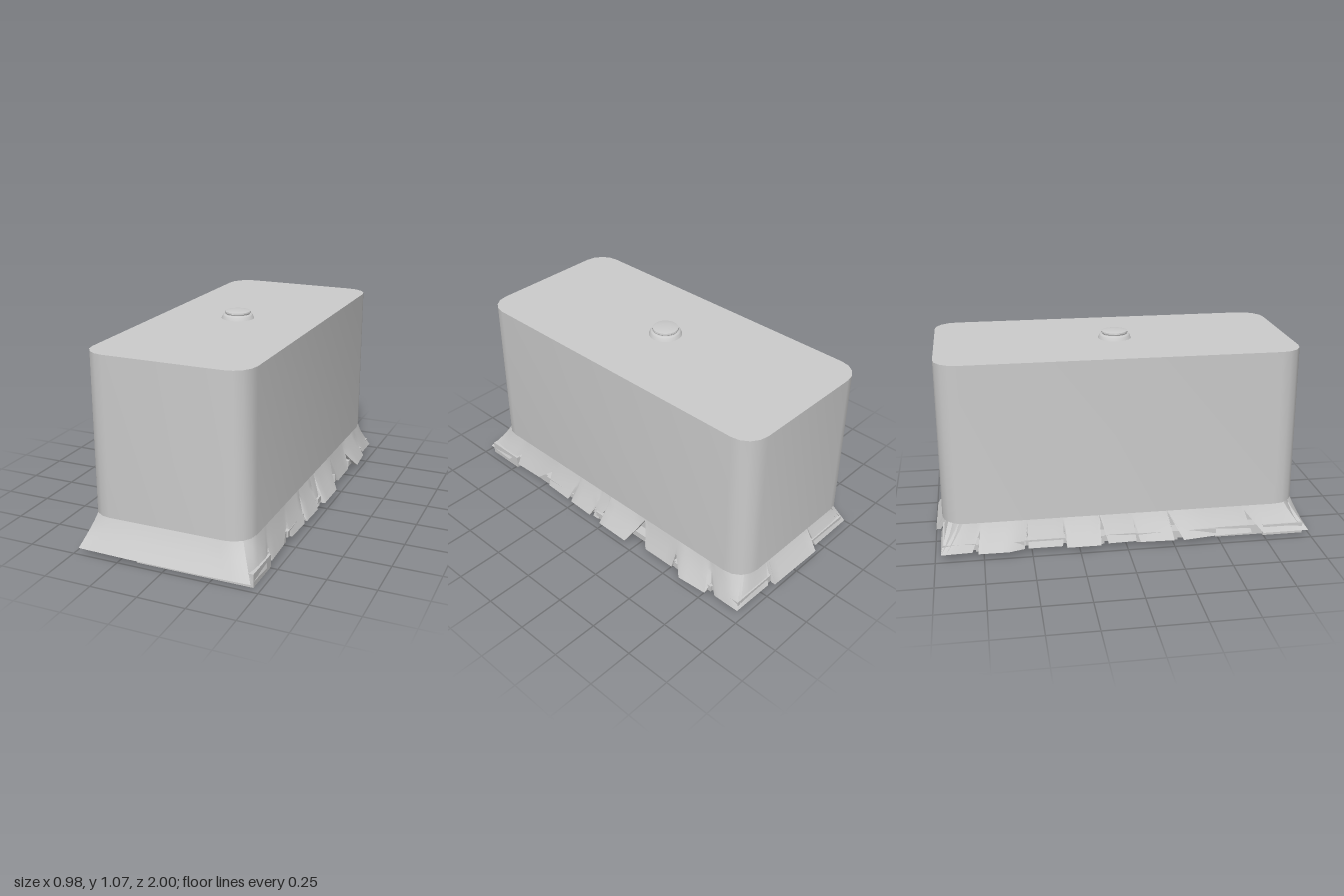
import * as THREE from 'three';
import { toCreasedNormals } from 'three/addons/utils/BufferGeometryUtils.js';

const mat = new THREE.MeshStandardMaterial({ color: 0xcccccc, side: THREE.DoubleSide });
const BODY = { x0: -0.455, x1: 0.41, z0: -0.955, z1: 0.915, y0: 0.19, y1: 1.03, r: 0.12 };
const mid = { x: (BODY.x0 + BODY.x1) / 2, z: (BODY.z0 + BODY.z1) / 2 };

function add(group, name, geometry) {
  const mesh = new THREE.Mesh(geometry, mat);
  mesh.name = name;
  group.add(mesh);
  return mesh;
}

// Block with rounded vertical corners
function bodyGeometry() {
  const { x0, x1, z0, z1, y0, y1, r } = BODY;
  const pts = [];
  const corners = [[x1 - r, z1 - r], [x0 + r, z1 - r], [x0 + r, z0 + r], [x1 - r, z0 + r]];
  corners.forEach(([cx, cz], i) => {
    for (let k = 0; k <= 4; k++) {
      const a = (i + k / 4) * Math.PI / 2;
      pts.push(new THREE.Vector2(cx + r * Math.cos(a), -(cz + r * Math.sin(a))));
    }
  });
  const g = new THREE.ExtrudeGeometry(new THREE.Shape(pts), { depth: y1 - y0, bevelEnabled: false });
  g.rotateX(-Math.PI / 2).translate(0, y0, 0);
  return toCreasedNormals(g, 0.7);
}

// Flared sheet below one side. Knots: [position along the side, outer edge, notch height 0..1]
function skirtGeometry(axis, sign, inset, knots) {
  const along = axis === 'x' ? 'z' : 'x';
  const half = (BODY[along + '1'] - BODY[along + '0']) / 2;
  const topHalf = half - 0.293 * BODY.r;
  const face = BODY[axis + (sign > 0 ? '1' : '0')] - sign * inset;
  const first = knots[0][0], last = knots[knots.length - 1][0];
  const rows = 4, thick = 0.025, bottom = 0.03;

  const columns = [];
  for (let i = 0; i < knots.length - 1; i++) {
    const n = Math.max(1, Math.ceil((knots[i + 1][0] - knots[i][0]) / 0.05));
    for (let k = 0; k < n; k++) columns.push(knots[i].map((v, j) => v + (knots[i + 1][j] - v) * k / n));
  }
  columns.push(knots[knots.length - 1]);

  const pos = [], index = [];
  const ring = 2 * (rows + 1);
  for (const [s, out, lo] of columns) {
    // matching point on the rounded upper outline
    const u = (2 * (s - first) / (last - first) - 1) * topHalf;
    const d = Math.max(0, Math.abs(u) - (half - BODY.r));
    const topOut = face - sign * (BODY.r - Math.sqrt(BODY.r ** 2 - d * d));
    for (let k = 0; k < ring; k++) {
      const inner = k > rows;
      const t = lo + (1 - lo) * (inner ? ring - 1 - k : k) / rows;
      const flare = (1 - t) ** 1.15;
      const p = {
        y: bottom + (BODY.y0 - bottom) * t,
        [axis]: topOut + (out - topOut) * flare - (inner ? sign * thick : 0),
        [along]: mid[along] + u + (s - mid[along] - u) * flare,
      };
      pos.push(p.x, p.y, p.z);
    }
  }
  const flip = (axis === 'x') === (sign > 0);
  for (let c = 0; c < columns.length - 1; c++) {
    for (let k = 0; k < ring; k++) {
      const a = c * ring + k, b = c * ring + (k + 1) % ring;
      const quad = [a, a + ring, b + ring, a, b + ring, b];
      index.push(...(flip ? quad.reverse() : quad));
    }
  }
  const g = new THREE.BufferGeometry();
  g.setAttribute('position', new THREE.Float32BufferAttribute(pos, 3));
  g.setIndex(index);
  return toCreasedNormals(g, 0.6);
}

function slab(group, name, x0, x1, z0, z1, y0, y1) {
  add(group, name, new THREE.BoxGeometry(x1 - x0, y1 - y0, z1 - z0))
    .position.set((x0 + x1) / 2, (y0 + y1) / 2, (z0 + z1) / 2);
}

export function createModel() {
  const model = new THREE.Group();
  add(model, 'body', bodyGeometry());

  // Flared, torn skirt
  add(model, 'frontSkirt', skirtGeometry('z', 1, 0,
    [[-0.475, 0.99, 0], [-0.2, 0.998, 0], [0.2, 0.998, 0], [0.458, 0.99, 0]]));
  add(model, 'leftSkirt', skirtGeometry('x', 1, 0, [
    [-0.97, 0.455, 0], [-0.82, 0.455, 0], [-0.79, 0.44, 0.3], [-0.77, 0.475, 0], [-0.6, 0.487, 0],
    [-0.54, 0.465, 0.55], [-0.52, 0.455, 0], [-0.33, 0.455, 0], [-0.28, 0.47, 0.97], [-0.2, 0.487, 0],
    [0, 0.485, 0], [0.01, 0.46, 0.45], [0.03, 0.465, 0], [0.07, 0.465, 0], [0.08, 0.46, 0.3],
    [0.09, 0.475, 0], [0.25, 0.47, 0], [0.27, 0.45, 0.3], [0.28, 0.468, 0], [0.45, 0.462, 0],
    [0.49, 0.455, 0.5], [0.55, 0.455, 0], [0.73, 0.462, 0], [0.76, 0.455, 0.4], [0.81, 0.468, 0],
    [0.99, 0.458, 0]]));
  add(model, 'rightSkirt', skirtGeometry('x', -1, 0.06, [
    [-0.97, -0.475, 0], [-0.81, -0.468, 0], [-0.79, -0.47, 0.6], [-0.78, -0.49, 0], [-0.62, -0.492, 0],
    [-0.54, -0.467, 0], [-0.53, -0.46, 0.6], [-0.52, -0.465, 0], [-0.34, -0.465, 0], [-0.33, -0.46, 0.5],
    [-0.32, -0.487, 0], [-0.14, -0.487, 0], [-0.12, -0.47, 0.8], [-0.1, -0.47, 0], [0.05, -0.465, 0],
    [0.06, -0.465, 0.5], [0.07, -0.48, 0], [0.25, -0.487, 0], [0.27, -0.47, 0.8], [0.3, -0.492, 0],
    [0.47, -0.467, 0], [0.68, -0.46, 0], [0.71, -0.46, 0.7], [0.74, -0.475, 0], [0.99, -0.475, 0]]));
  add(model, 'backSkirt', skirtGeometry('z', -1, 0.05, [
    [-0.475, -0.97, 0], [-0.2, -0.972, 0], [-0.18, -0.975, 0.9], [-0.165, -1, 0], [0.18, -0.995, 0],
    [0.195, -0.975, 0.9], [0.21, -0.972, 0], [0.455, -0.97, 0]]));

  // Core above the underside slabs
  slab(model, 'core', -0.385, 0.37, -0.88, 0.88, 0.05, 0.19);

  // Uneven slabs underneath: z range, then x breaks, then the bottom height of each piece
  const courses = [
    [-0.96, -0.79, [-0.45, -0.16, 0.19, 0.44], [0.035, 0.025, 0.04]],
    [-0.79, -0.54, [-0.46, 0.08, 0.45], [0.03, 0.035]],
    [-0.54, -0.31, [-0.45, -0.12, 0.44], [0.04, 0.025]],
    [-0.31, -0.12, [-0.46, 0.02, 0.42], [0.025, 0.035]],
    [-0.12, 0.05, [-0.45, -0.2, 0.46], [0.035, 0.03]],
    [0.05, 0.27, [-0.46, 0.05, 0.45], [0.02, 0.04]],
    [0.27, 0.48, [-0.46, -0.15, 0.22, 0.45], [0.03, 0.015, 0.035]],
    [0.48, 0.74, [-0.45, -0.08, 0.44], [0.015, 0.01]],
    [0.74, 0.96, [-0.46, -0.16, 0.46], [0.01, 0]],
  ];
  const underside = new THREE.Group();
  underside.name = 'underside';
  for (const [z0, z1, breaks, heights] of courses) {
    heights.forEach((y, i) => slab(underside, 'undersideSlab', breaks[i], breaks[i + 1], z0, z1, y, 0.07));
  }
  model.add(underside);

  // Knob on the lid
  const profile = [[0.088, 1.03], [0.081, 1.046], [0.077, 1.051], [0.066, 1.053], [0.066, 1.056],
    [0.07, 1.06], [0.068, 1.068], [0.055, 1.071], [0.03, 1.073], [0, 1.074]];
  const knob = new THREE.LatheGeometry(profile.map(([r, y]) => new THREE.Vector2(r, y)), 32);
  add(model, 'knob', toCreasedNormals(knob, 0.8)).position.set(-0.04, 0, -0.005);

  return model;
}
